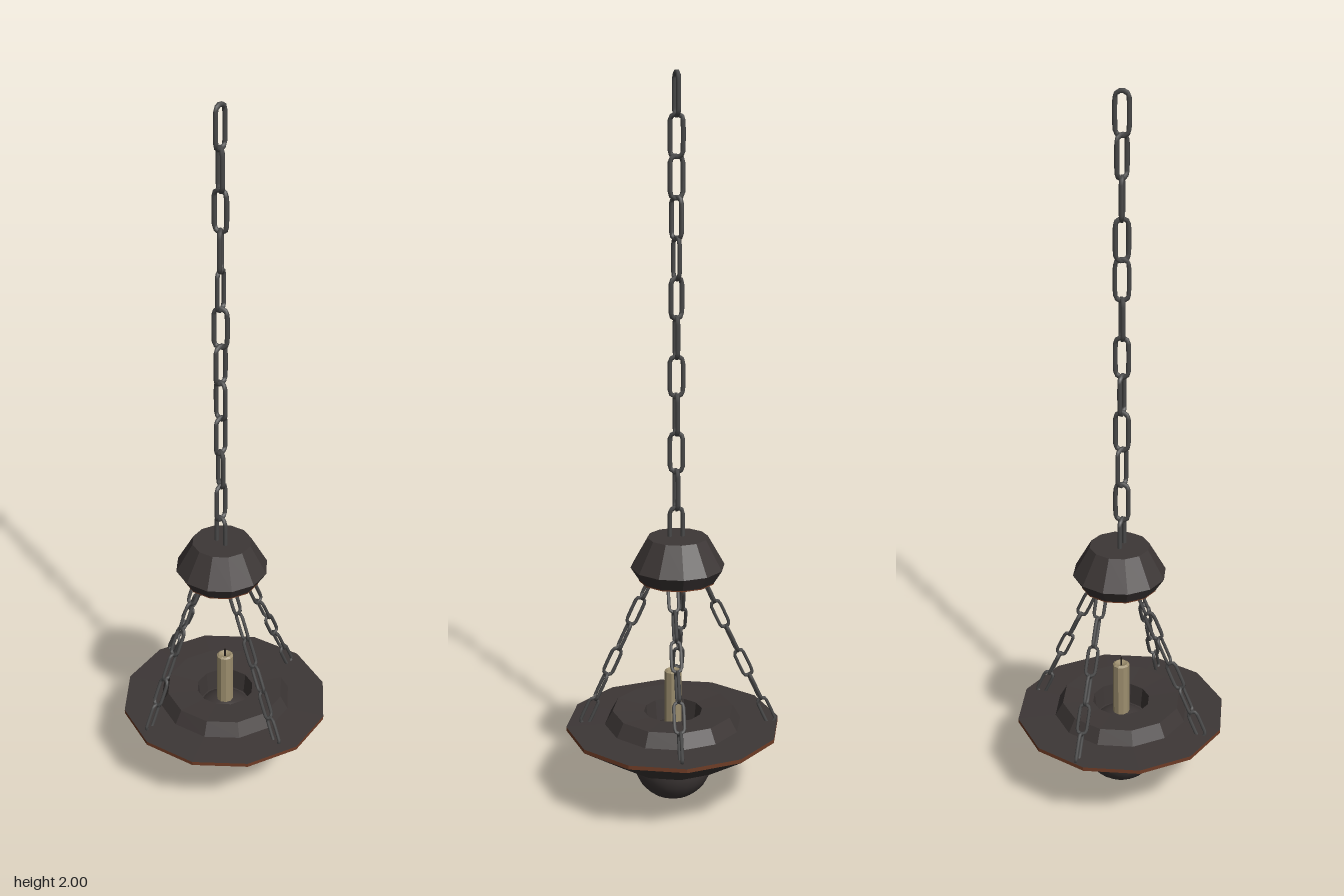
import * as THREE from 'three';

const mat = (name, color) => {
  const m = new THREE.MeshStandardMaterial({ color });
  m.name = name;
  return m;
};

export function createModel() {
  const iron = mat('dark iron', 0x3d3736);
  const chainIron = mat('chain iron', 0x4a4a4a);
  const rust = mat('rust', 0x6e3c26);
  const wax = mat('candle wax', 0x9c8e6e);
  const char = mat('charred wick', 0x241f1c);

  const model = new THREE.Group();
  model.name = 'hangingCandleDish';

  const add = (name, geometry, material, parent = model) => {
    const mesh = new THREE.Mesh(geometry, material);
    mesh.name = name;
    parent.add(mesh);
    return mesh;
  };

  // Faceted twelve-sided turned part, profile listed as [radius, height]
  const turned = (name, profile, material, sides = 12) => {
    const pts = profile.map(([r, y]) => new THREE.Vector2(r, y));
    const g = new THREE.LatheGeometry(pts, sides).toNonIndexed();
    g.computeVertexNormals();
    return add(name, g, material);
  };

  // Dish: flared underside, lip, raised centre and candle well
  turned('dishUnderside', [[0, 0.128], [0.168, 0.128], [0.3, 0.214]], iron);
  turned('dishRim', [[0.3, 0.214], [0.3, 0.225]], rust);
  turned('dishTop', [
    [0.3, 0.225], [0.192, 0.227], [0.17, 0.266], [0.082, 0.26], [0.075, 0.2], [0, 0.2],
  ], iron);

  // Ball under the dish
  add('bottomBall', new THREE.SphereGeometry(0.112, 24, 16), iron).position.y = 0.112;

  // Candle
  turned('candle', [[0.024, 0.2], [0.024, 0.378], [0.018, 0.382], [0, 0.374]], wax, 10);
  add('wick', new THREE.CylinderGeometry(0.003, 0.003, 0.03, 5), char).position.y = 0.385;

  // Hollow cap that gathers the chains
  const capZ = -0.013;
  turned('cap', [[0.106, 0.648], [0.13, 0.685], [0.083, 0.768], [0, 0.768]], iron).position.z = capZ;
  turned('capInside', [[0, 0.69], [0.075, 0.69], [0.094, 0.645]], iron).position.z = capZ;
  turned('capLip', [[0.094, 0.645], [0.106, 0.645], [0.106, 0.648]], rust).position.z = capZ;

  // Rounded oblong chain link lying in the XY plane, long axis along Y
  const linkGeometry = (length, width, wire) => {
    const r = width / 2 - wire;
    const straight = length / 2 - wire - r;
    const pts = [];
    for (const end of [1, -1]) {
      for (let i = 0; i <= 4; i++) {
        const a = (i / 4) * Math.PI;
        pts.push(new THREE.Vector3(end * r * Math.cos(a), end * (straight + r * Math.sin(a)), 0));
      }
    }
    const path = new THREE.CatmullRomCurve3(pts, true, 'catmullrom', 0.4);
    return new THREE.TubeGeometry(path, 24, wire, 6, true);
  };

  // Main chain, each link with its own twist in degrees
  const mainChain = new THREE.Group();
  mainChain.name = 'mainChain';
  mainChain.position.set(-0.006, 0, -0.01);
  model.add(mainChain);
  const mainLink = linkGeometry(0.122, 0.048, 0.0065);
  [10, 65, 105, 40, 20, 120, 5, 90, 5, 70, 8, 90].forEach((deg, i) => {
    const link = add('mainLink', mainLink, chainIron, mainChain);
    link.position.y = 1.939 - i * 0.104;
    link.rotation.y = THREE.MathUtils.degToRad(deg);
  });

  // Four side chains from the cap down to the dish
  const sideLink = linkGeometry(0.092, 0.036, 0.005);
  const up = new THREE.Vector3(0, 1, 0);
  const chains = [
    ['right', [-0.058, 0.665, -0.04], [-0.262, 0.215, -0.042]],
    ['left', [0.058, 0.665, 0.008], [0.262, 0.215, 0.01]],
    ['back', [0.026, 0.665, -0.075], [0.027, 0.215, -0.28]],
    ['front', [-0.026, 0.665, 0.048], [-0.027, 0.215, 0.252]],
  ];
  for (const [side, from, to] of chains) {
    const a = new THREE.Vector3(...from), b = new THREE.Vector3(...to);
    const chain = new THREE.Group();
    chain.name = side + 'Chain';
    chain.position.copy(a);
    chain.quaternion.setFromUnitVectors(up, a.clone().sub(b).normalize());
    model.add(chain);
    const length = a.distanceTo(b);
    const count = 6;
    for (let i = 0; i < count; i++) {
      const link = add(side + 'Link', sideLink, chainIron, chain);
      link.position.y = -0.046 - (i * (length - 0.092)) / (count - 1);
      // Alternate links turn a quarter so that they interlock
      const edgeOn = side === 'left' || side === 'right' ? i % 2 === 0 : i % 2 === 1;
      link.rotation.y = edgeOn ? Math.PI / 2 : 0.15;
    }
  }

  return model;
}
